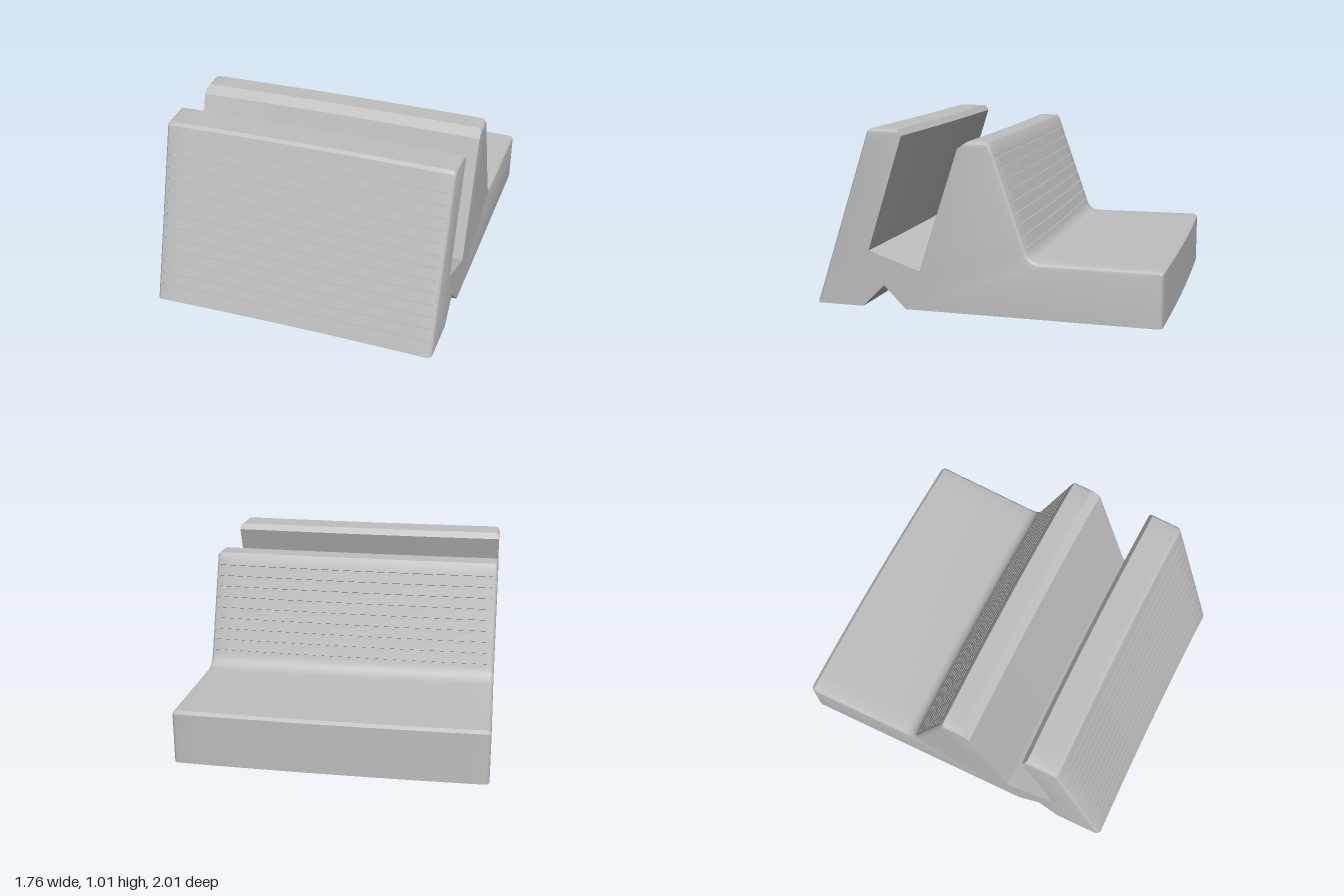
import * as THREE from 'three';
import { toCreasedNormals } from 'three/addons/utils/BufferGeometryUtils.js';

const BEVEL = 0.028;
const GROOVE_DEPTH = 0.012;
const GROOVE_HALF = 0.007;

// Side profile as points [z, y]; each point also says whether the edge leaving it is bevelled,
// and how far it is sunk along the inward normal when it belongs to a groove.
function buildProfile() {
  const pts = [];
  const add = (z, y, bevel = false, sink = null) => pts.push({ z, y, bevel, sink });

  // A straight edge with n evenly spaced grooves between fractions t0 and t1
  const groovedEdge = (p, q, n, t0, t1) => {
    const dz = q[0] - p[0], dy = q[1] - p[1], len = Math.hypot(dz, dy);
    const inward = [-dy / len, dz / len];
    const at = (t, sink) => add(p[0] + dz * t, p[1] + dy * t, true, sink);
    const h = GROOVE_HALF / len;
    add(p[0], p[1], true);
    for (let i = 0; i < n; i++) {
      const t = t0 + (t1 - t0) * i / (n - 1);
      at(t - h, null);
      at(t - h * 0.8, inward);
      at(t + h * 0.8, inward);
      at(t + h, null);
    }
  };

  // Front fin
  groovedEdge([1, 0], [0.67, 1], 13, 0.095, 0.905);
  add(0.67, 1, true);
  add(0.65, 1.015, true);
  add(0.485, 1.015);
  add(0.46, 0.98);
  // Slot
  add(0.67, 0.325);
  add(0.365, 0.225);
  // Rear ridge
  add(0.135, 0.92);
  add(0.08, 0.96, true);
  add(-0.035, 0.96, true);
  groovedEdge([-0.05, 0.94], [-0.25, 0.37], 9, 0.1, 0.96);
  // Fillet into the ledge
  const fillet = new THREE.QuadraticBezierCurve(
    new THREE.Vector2(-0.25, 0.37), new THREE.Vector2(-0.271, 0.31), new THREE.Vector2(-0.335, 0.31));
  fillet.getPoints(6).forEach((p) => add(p.x, p.y, true));
  // Ledge and back
  add(-0.98, 0.31, true);
  add(-1, 0.295, true);
  add(-1, 0);
  // Notch in the underside
  add(0.45, 0);
  add(0.58, 0.13);
  add(0.71, 0);
  return pts;
}

// Moves the bevelled edges inward by d, keeping the other edges on their lines
function insetProfile(pts, d) {
  const n = pts.length;
  const edge = (i) => {
    const a = pts[i % n], b = pts[(i + 1) % n];
    const len = Math.hypot(b.z - a.z, b.y - a.y);
    return { z: -(b.y - a.y) / len, y: (b.z - a.z) / len, d: a.bevel ? d : 0 };
  };
  return pts.map((p, i) => {
    const e = edge(i + n - 1), f = edge(i);
    const det = e.z * f.y - e.y * f.z;
    if (Math.abs(det) < 0.01) return [p.z + f.z * f.d, p.y + f.y * f.d];
    return [p.z + (e.d * f.y - f.d * e.y) / det, p.y + (e.z * f.d - f.z * e.d) / det];
  });
}

function buildBody() {
  const profile = buildProfile();
  const plain = profile.map((p) => [p.z, p.y]);
  const grooved = profile.map((p) => p.sink
    ? [p.z + p.sink[0] * GROOVE_DEPTH, p.y + p.sink[1] * GROOVE_DEPTH] : [p.z, p.y]);

  // Places a section: the width tapers towards the front and the body bows slightly in z
  const place = (section, u, extra) => section.map(([z, y]) => {
    const x = u * (0.855 - 0.025 * z - BEVEL + extra);
    return [x, y, z - 0.004 + 0.012 * (x / 0.85) ** 2 - 0.004];
  });

  // Sections from right to left: rounded end, grooved middle, rounded end
  const ends = [];
  for (let k = 3; k >= 0; k--) {
    const t = k / 3 * Math.PI / 2;
    ends.push([insetProfile(profile, BEVEL * (1 - Math.cos(t))), BEVEL * Math.sin(t)]);
  }
  ends[3][0] = plain;
  const rings = ends.map(([s, extra]) => place(s, -1, extra));
  const STEPS = 16;
  for (let i = 0; i <= STEPS; i++) rings.push(place(grooved, -1 + 2 * i / STEPS, 0));
  ends.slice().reverse().forEach(([s, extra]) => rings.push(place(s, 1, extra)));

  const pos = [];
  const A = new THREE.Vector3(), B = new THREE.Vector3(), C = new THREE.Vector3();
  const tri = (a, b, c) => {
    A.fromArray(a); B.fromArray(b).sub(A); C.fromArray(c).sub(A);
    if (B.cross(C).length() > 1e-9) pos.push(...a, ...b, ...c);
  };
  const n = profile.length;
  for (let j = 0; j + 1 < rings.length; j++) {
    for (let i = 0; i < n; i++) {
      const k = (i + 1) % n;
      tri(rings[j][i], rings[j + 1][k], rings[j][k]);
      tri(rings[j][i], rings[j + 1][i], rings[j + 1][k]);
    }
  }
  // Flat end faces
  const outline = ends[0][0].map(([z, y]) => new THREE.Vector2(z, y));
  const right = rings[0], left = rings[rings.length - 1];
  for (const [a, b, c] of THREE.ShapeUtils.triangulateShape(outline, [])) {
    tri(right[a], right[b], right[c]);
    tri(left[a], left[c], left[b]);
  }

  const geo = new THREE.BufferGeometry();
  geo.setAttribute('position', new THREE.Float32BufferAttribute(pos, 3));
  return toCreasedNormals(geo, 0.4);
}

export function createModel() {
  const grey = new THREE.MeshStandardMaterial({ color: 0xbfbfbf });
  grey.name = 'light grey';
  const body = new THREE.Mesh(buildBody(), grey);
  body.name = 'slottedStandBody';
  const group = new THREE.Group();
  group.name = 'slottedStand';
  group.add(body);
  return group;
}
